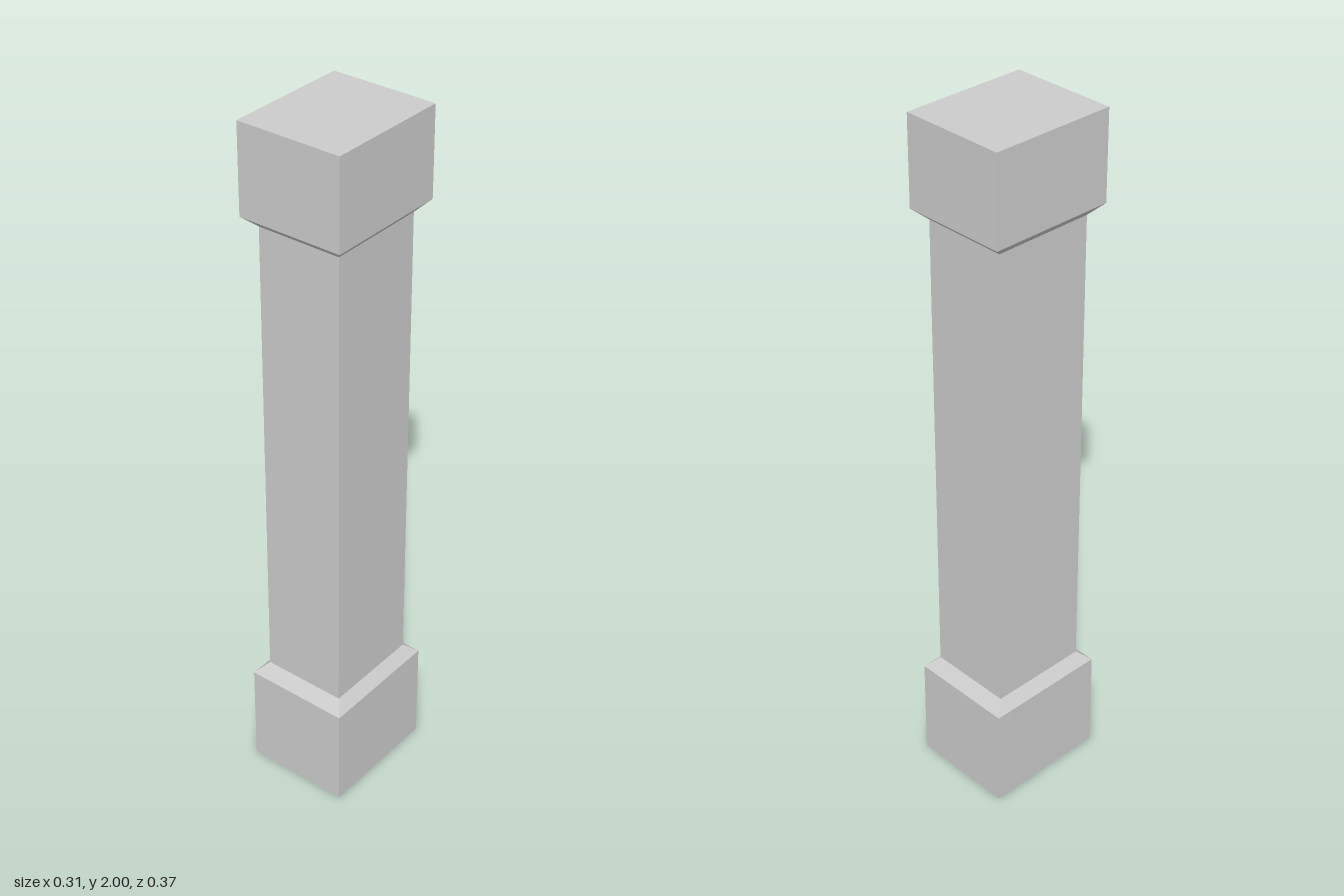
import * as THREE from 'three';

const material = new THREE.MeshStandardMaterial({ color: 0xcccccc, flatShading: true });

// Half-depth (z) relative to half-width (x) of the rectangular plan
const DEPTH_RATIO = 0.183 / 0.154;
const BLOCK = 0.154; // half-width of the end blocks
const SHAFT = 0.124; // half-width of the shaft

// Sweeps a [half-width, height] profile, bottom to top, around a rectangular plan
function addPart(group, name, profile) {
  const points = profile.map(([halfWidth, y]) => new THREE.Vector2(halfWidth * Math.SQRT2, y));
  const lathe = new THREE.LatheGeometry(points, 4, Math.PI / 4);
  lathe.scale(1, 1, DEPTH_RATIO);
  const geometry = lathe.toNonIndexed();
  geometry.computeVertexNormals();
  const mesh = new THREE.Mesh(geometry, material);
  mesh.name = name;
  group.add(mesh);
}

export function createModel() {
  const group = new THREE.Group();
  group.name = 'pillar';

  // Square-cut foot, chamfered in to the shaft
  addPart(group, 'base', [[0, 0], [BLOCK, 0], [BLOCK, 0.302], [SHAFT, 0.333]]);

  // Plain straight shaft
  addPart(group, 'shaft', [[SHAFT, 0.333], [SHAFT, 1.717]]);

  // Head block, chamfered out from the shaft
  addPart(group, 'capital', [[SHAFT, 1.717], [BLOCK, 1.748], [BLOCK, 2], [0, 2]]);

  return group;
}
